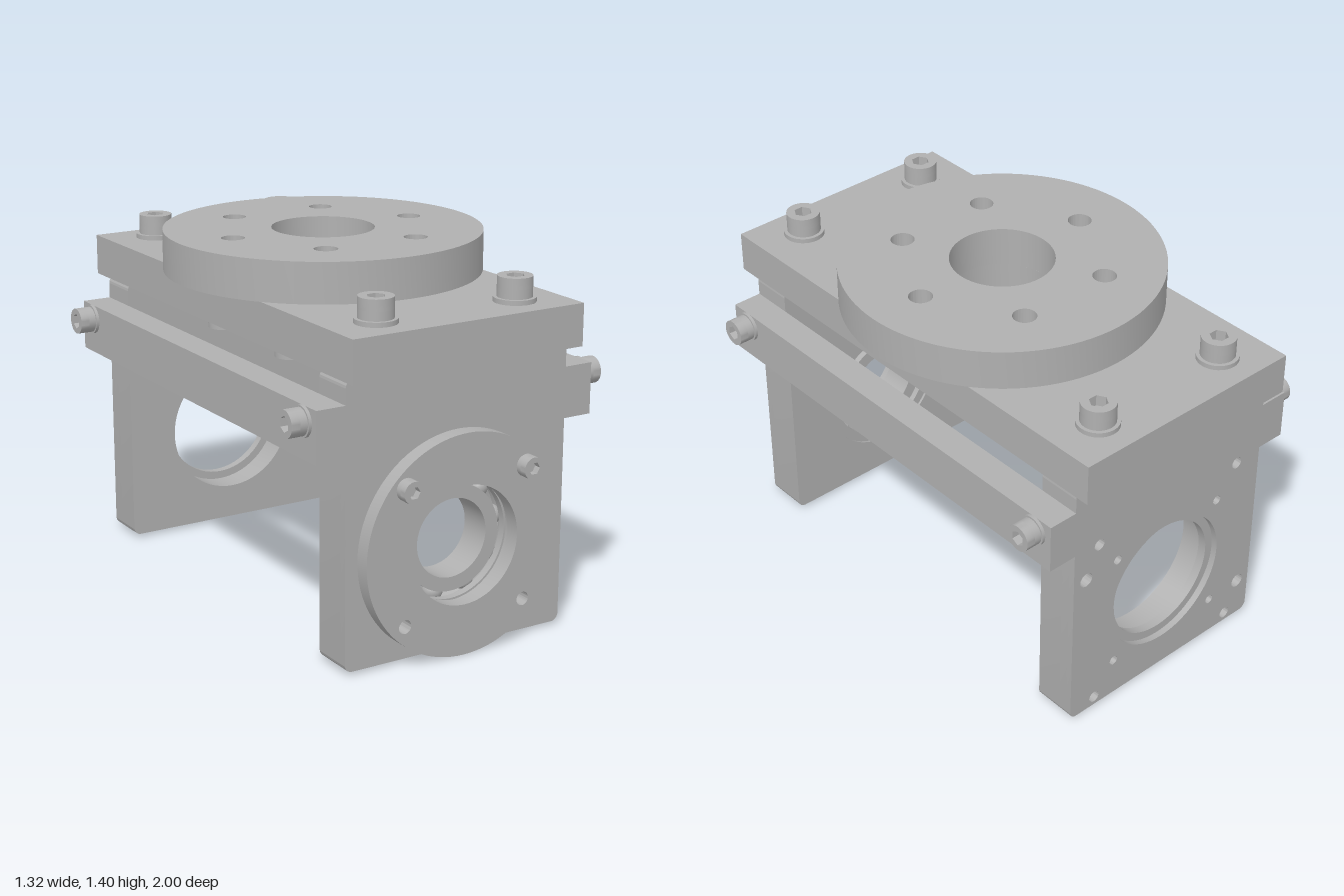
import * as THREE from 'three';
import { toCreasedNormals } from 'three/addons/utils/BufferGeometryUtils.js';

export function createModel() {
  const model = new THREE.Group();
  const metal = new THREE.MeshStandardMaterial({ color: 0xb0b0b0 });
  metal.name = 'machined grey metal';

  const add = (name, geometry, parent = model) => {
    const mesh = new THREE.Mesh(geometry, metal);
    mesh.name = name;
    parent.add(mesh);
    return mesh;
  };
  const circle = (r, x = 0, y = 0) => new THREE.Shape().absarc(x, y, r, 0, Math.PI * 2, false);
  const rect = (x0, y0, x1, y1, r = 0) => {
    const s = new THREE.Shape();
    if (!r) return s.moveTo(x0, y0).lineTo(x1, y0).lineTo(x1, y1).lineTo(x0, y1).closePath();
    s.absarc(x1 - r, y0 + r, r, -Math.PI / 2, 0, false);
    s.absarc(x1 - r, y1 - r, r, 0, Math.PI / 2, false);
    s.absarc(x0 + r, y1 - r, r, Math.PI / 2, Math.PI, false);
    s.absarc(x0 + r, y0 + r, r, Math.PI, Math.PI * 1.5, false);
    return s.closePath();
  };
  // Extrude an outline with holes along z, from z0 to z1
  const slab = (shape, holes, z0, z1, seg = 32) => {
    shape.holes.push(...holes);
    const g = new THREE.ExtrudeGeometry(shape, { depth: z1 - z0, bevelEnabled: false, curveSegments: seg });
    g.translate(0, 0, z0);
    return toCreasedNormals(g, 0.5);
  };
  // The same, standing on the ground plane: shape y becomes -z
  const flat = (shape, holes, y0, y1, seg) => slab(shape, holes, y0, y1, seg).rotateX(-Math.PI / 2);

  // Socket head screw with optional washer, pointing along +y
  const screw = (name, r, height, hexR, washerR, washerH, position, direction) => {
    const g = new THREE.Group();
    g.name = name;
    if (washerH) {
      const w = new THREE.CylinderGeometry(washerR, washerR, washerH, 32);
      add('washer', w.translate(0, washerH / 2, 0), g);
    }
    const mid = washerH + (height - washerH) * 0.45;
    add('screwHeadBase', new THREE.CylinderGeometry(r, r, mid, 32).translate(0, mid / 2, 0), g);
    const hex = new THREE.Path();
    hex.setFromPoints(Array.from({ length: 6 }, (_, i) =>
      new THREE.Vector2(Math.cos(i * Math.PI / 3) * hexR, Math.sin(i * Math.PI / 3) * hexR)));
    add('screwHeadSocket', flat(circle(r), [hex], mid, height, 16), g);
    g.position.set(...position);
    g.quaternion.setFromUnitVectors(new THREE.Vector3(0, 1, 0), new THREE.Vector3(...direction));
    model.add(g);
  };

  const cy = 0.423;        // height of the bearing axis
  const cz = -0.022;       // depth of the turntable axis
  const ends = [0.805, -0.845];

  // Round turntable with six through holes
  const discHoles = [circle(0.197, 0, -cz)];
  for (let i = 0; i < 6; i++) {
    const a = i * Math.PI / 3;
    discHoles.push(circle(0.045, 0.392 * Math.cos(a), -cz + 0.392 * Math.sin(a)));
  }
  add('turntableDisc', flat(circle(0.61, 0, -cz), discHoles, 1.25, 1.405, 48));

  // Top plate with central opening
  add('topPlate', flat(rect(-0.487, -0.96, 0.487, 1), [circle(0.197, 0, -cz)], 1.09, 1.25));

  // Front plate with stepped bearing seat
  const endPlate = () => rect(-0.47, 0.015, 0.47, 1.09, 0.03);
  add('frontPlate', slab(endPlate(), [circle(0.272, 0, cy)], 0.72, 0.86));
  add('frontPlateShoulder', slab(endPlate(), [circle(0.24, 0, cy)], 0.86, 0.89));

  // Back plate with stepped bore and blind mounting holes
  const mounts = () => {
    const holes = [circle(0.029, 0.41, cy + 0.24), circle(0.029, -0.41, cy - 0.24)];
    for (const sx of [1, -1]) for (const sy of [1, -1]) {
      holes.push(circle(0.019, sx * 0.255, cy + sy * 0.245), circle(0.024, sx * 0.35, cy + sy * 0.37));
    }
    return holes;
  };
  add('backPlateOuter', slab(endPlate(), [circle(0.275, 0, cy), ...mounts()], -0.93, -0.905));
  add('backPlateShoulder', slab(endPlate(), [circle(0.24, 0, cy), ...mounts()], -0.905, -0.87));
  add('backPlateInner', slab(endPlate(), [circle(0.272, 0, cy)], -0.87, -0.76));

  // Front bearing flange, with open holes below and screws above
  const b = 0.257;
  add('bearingFlange', slab(circle(0.42, 0, cy),
    [circle(0.225, 0, cy), circle(0.026, b, cy - b), circle(0.026, -b, cy - b)], 0.89, 0.95, 48));

  // Ball bearing
  const bearing = new THREE.Group();
  bearing.name = 'ballBearing';
  model.add(bearing);
  const race = (name, pts) => {
    const g = new THREE.LatheGeometry(pts.map(p => new THREE.Vector2(...p)), 64);
    add(name, toCreasedNormals(g.rotateX(Math.PI / 2), 0.5), bearing);
  };
  race('innerRace', [[0.15, -0.065], [0.203, -0.065], [0.203, -0.035], [0.188, -0.02], [0.183, 0],
    [0.188, 0.02], [0.203, 0.035], [0.203, 0.065], [0.15, 0.065], [0.15, -0.065]]);
  race('outerRace', [[0.272, -0.065], [0.272, 0.065], [0.232, 0.065], [0.232, 0.035], [0.248, 0.02],
    [0.254, 0], [0.248, -0.02], [0.232, -0.035], [0.232, -0.065], [0.272, -0.065]]);
  for (let i = 0; i < 10; i++) {
    const a = (8 + i * 36) * Math.PI / 180;
    const ball = add('bearingBall', new THREE.SphereGeometry(0.04, 20, 14), bearing);
    ball.position.set(0.217 * Math.cos(a), 0.217 * Math.sin(a), 0);
  }
  bearing.position.set(0, cy, 0.795);

  // Mirrored rails and screws
  for (const s of [1, -1]) {
    const rail = add('sideRail', new THREE.BoxGeometry(0.117, 0.195, 1.82));
    rail.position.set(s * 0.5285, 0.9025, -0.02);
    for (const z of ends) {
      screw('railScrew', 0.051, 0.075, 0.03, 0.058, 0.012, [s * 0.587, 0.943, z], [s, 0, 0]);
      screw('topScrew', 0.065, 0.095, 0.035, 0.079, 0.018, [s * 0.295, 1.25, z], [0, 1, 0]);
    }
    for (const z of [0.24, -0.27]) {
      screw('undersideScrew', 0.065, 0.09, 0.035, 0.079, 0.014, [s * 0.295, 1.09, z], [0, -1, 0]);
    }
    screw('flangeScrew', 0.042, 0.05, 0.024, 0, 0, [s * b, cy + b, 0.95], [0, 0, 1]);
  }
  return model;
}
